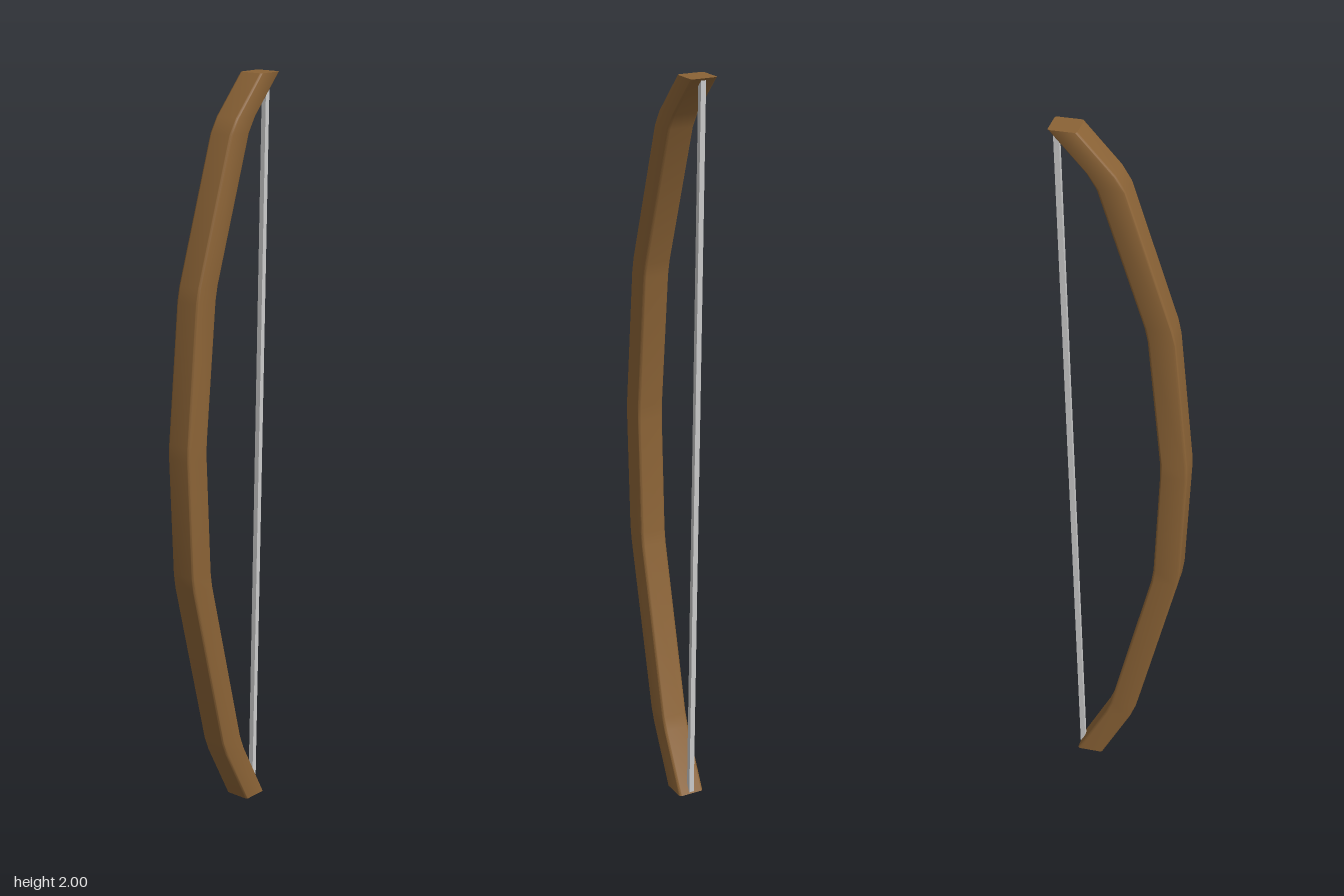
import * as THREE from 'three';
import { toCreasedNormals } from 'three/addons/utils/BufferGeometryUtils.js';

// Bow limb centre line as [y, z], bottom to top
const KNOTS = [
  [0, -0.093], [0.18, 0.001], [0.69, 0.126], [1.05, 0.143],
  [1.46, 0.104], [1.875, -0.03], [2, -0.142],
];

// Replace each inner bend by two close levels, which softens it
function softenBends(knots, gap) {
  const towards = (a, b) => {
    const t = gap / Math.abs(b[0] - a[0]);
    return [a[0] + (b[0] - a[0]) * t, a[1] + (b[1] - a[1]) * t];
  };
  return knots.flatMap((k, i) => {
    if (i === 0 || i === knots.length - 1) return [k];
    const g = i === 3 ? [towards(k, knots[i - 1]), towards(k, knots[i + 1])] : null;
    return g ?? [towards(k, knots[i - 1]), towards(k, knots[i + 1])];
  });
}

// Rectangle with small rounded corners, centred on the origin
function roundedSection(w, d, r) {
  const s = new THREE.Shape();
  const x = w / 2 - r, y = d / 2 - r;
  s.absarc(x, y, r, 0, Math.PI / 2);
  s.absarc(-x, y, r, Math.PI / 2, Math.PI);
  s.absarc(-x, -y, r, Math.PI, Math.PI * 1.5);
  s.absarc(x, -y, r, Math.PI * 1.5, Math.PI * 2);
  return s;
}

// Level section swept upwards, each level slid forward or back to the centre line
function limbGeometry() {
  const levels = softenBends(KNOTS, 0.02);
  const steps = levels.length - 1;
  const geo = new THREE.ExtrudeGeometry(roundedSection(0.073, 0.073, 0.007), {
    depth: steps, steps, bevelEnabled: false, curveSegments: 3,
  });
  geo.rotateX(-Math.PI / 2);
  const p = geo.attributes.position;
  for (let i = 0; i < p.count; i++) {
    const [y, z] = levels[Math.round(p.getY(i))];
    p.setY(i, y);
    p.setZ(i, p.getZ(i) + z);
  }
  return toCreasedNormals(geo, 0.6);
}

export function createModel() {
  const group = new THREE.Group();
  group.name = 'bow';

  // Wooden limb
  const limb = new THREE.Mesh(limbGeometry(), new THREE.MeshStandardMaterial({ color: 0x8b6336 }));
  limb.name = 'limb';
  group.add(limb);

  // Taut string between the two tips
  const low = new THREE.Vector3(0, 0.005, -0.122);
  const high = new THREE.Vector3(0, 1.995, -0.166);
  const string = new THREE.Mesh(
    new THREE.BoxGeometry(0.014, low.distanceTo(high), 0.014),
    new THREE.MeshStandardMaterial({ color: 0xcccccc }),
  );
  string.name = 'string';
  string.position.copy(low).lerp(high, 0.5);
  string.quaternion.setFromUnitVectors(new THREE.Vector3(0, 1, 0), high.clone().sub(low).normalize());
  group.add(string);

  return group;
}
